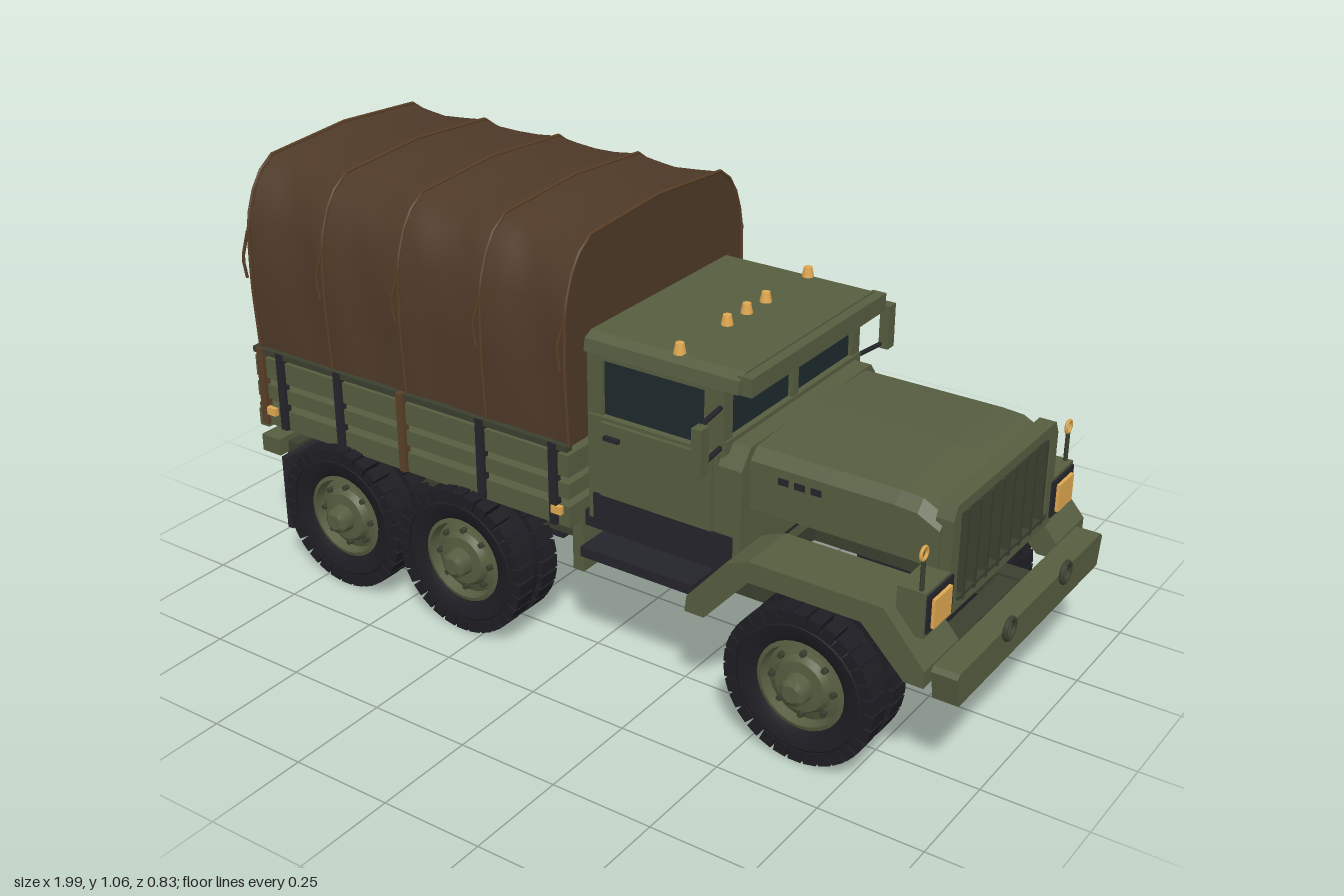
import * as THREE from 'three';
import { toCreasedNormals } from 'three/addons/utils/BufferGeometryUtils.js';

const paint = (color) => new THREE.MeshStandardMaterial({ color, side: THREE.DoubleSide });
const GREEN = paint(0x565d40), DEEP = paint(0x3a4030), DARK = paint(0x24242b), TYRE = paint(0x1d1d23);
const GLASS = paint(0x1e292c), CANVAS = paint(0x4f3a28), ROPE = paint(0x5a4028), AMBER = paint(0xe0a850), RED = paint(0xa02a20);

export function createModel() {
  const truck = new THREE.Group();
  truck.name = 'truck';

  const add = (name, geo, mat, parent = truck) => {
    const m = new THREE.Mesh(geo, mat);
    m.name = name;
    parent.add(m);
    return m;
  };
  const box = (name, mat, x0, x1, y0, y1, z0, z1, parent) => {
    const m = add(name, new THREE.BoxGeometry(x1 - x0, y1 - y0, Math.abs(z1 - z0)), mat, parent);
    m.position.set((x0 + x1) / 2, (y0 + y1) / 2, (z0 + z1) / 2);
    return m;
  };
  const sides = (fn) => [1, -1].forEach(fn);
  const pairBox = (name, mat, x0, x1, y0, y1, z0, z1) =>
    sides((s) => box(name, mat, x0, x1, y0, y1, s * z0, s * z1));
  const rod = (name, mat, r, pts, parent) => {
    const path = new THREE.CurvePath();
    const v = pts.map((p) => new THREE.Vector3(...p));
    for (let i = 1; i < v.length; i++) path.add(new THREE.LineCurve3(v[i - 1], v[i]));
    return add(name, new THREE.TubeGeometry(path, (v.length - 1) * 3, r, 6), mat, parent);
  };
  const poly = (pts) => new THREE.Shape(pts.map((p) => new THREE.Vector2(...p)));
  const hole = (shape, pts) => { shape.holes.push(new THREE.Path(pts.map((p) => new THREE.Vector2(...p)))); return shape; };
  // extrude a (z, y) outline along x
  const alongX = (shape, x0, x1, steps = 1) =>
    new THREE.ExtrudeGeometry(shape, { depth: x1 - x0, steps, bevelEnabled: false }).rotateY(Math.PI / 2).translate(x0, 0, 0);

  // Wheels, outer face towards +z
  const tyreGeo = toCreasedNormals(new THREE.LatheGeometry([
    [0.105, -0.06], [0.15, -0.07], [0.168, -0.06], [0.17, 0], [0.168, 0.06], [0.15, 0.07], [0.125, 0.066], [0.105, 0.055], [0.105, -0.06],
  ].map((p) => new THREE.Vector2(...p)), 32).rotateX(Math.PI / 2), 0.6);
  const rimGeo = toCreasedNormals(new THREE.LatheGeometry([
    [0, -0.05], [0.106, -0.05], [0.11, 0.056], [0.098, 0.06], [0.092, 0.035], [0.07, 0.045], [0.06, 0.06], [0.035, 0.062], [0.032, 0.09], [0.02, 0.098], [0, 0.098],
  ].map((p) => new THREE.Vector2(...p)), 24).rotateX(Math.PI / 2), 0.5);
  const lugGeo = new THREE.BoxGeometry(0.031, 0.03, 0.056);
  const boltGeo = new THREE.CylinderGeometry(0.007, 0.007, 0.016, 6).rotateX(Math.PI / 2);
  for (const x of [-0.68, -0.305, 0.625]) sides((s) => {
    const wheel = new THREE.Group();
    wheel.name = 'wheel';
    add('tyre', tyreGeo, TYRE, wheel);
    add('rim', rimGeo, GREEN, wheel);
    for (let i = 0; i < 60; i++) {
      const a = (i / 60) * Math.PI * 2;
      const lug = add('treadLug', lugGeo, TYRE, wheel);
      lug.position.set(Math.cos(a) * 0.169, Math.sin(a) * 0.169, i % 2 ? 0.043 : -0.043);
      lug.rotation.z = a - Math.PI / 2;
    }
    for (let i = 0; i < 8; i++) {
      const a = (i / 8) * Math.PI * 2;
      add('wheelBolt', boltGeo, DEEP, wheel).position.set(Math.cos(a) * 0.076, Math.sin(a) * 0.076, 0.047);
    }
    wheel.position.set(x, 0.185, s * 0.316);
    if (s < 0) wheel.rotation.y = Math.PI;
    truck.add(wheel);
  });

  // Chassis, axles and drive line
  pairBox('chassisRail', DEEP, -0.91, 0.9, 0.22, 0.29, 0.13, 0.18);
  for (const x of [-0.89, -0.49, -0.08, 0.12, 0.34, 0.86]) box('crossMember', DEEP, x - 0.025, x + 0.025, 0.225, 0.285, -0.13, 0.13);
  for (const x of [-0.68, -0.305, 0.625]) {
    add('axle', new THREE.CylinderGeometry(0.027, 0.027, 0.56, 10).rotateX(Math.PI / 2), DARK).position.set(x, 0.18, 0);
    box('differential', GREEN, x - 0.055, x + 0.055, 0.115, 0.215, -0.055, 0.055);
    pairBox('leafSpring', DARK, x - 0.15, x + 0.15, 0.2, 0.225, 0.135, 0.175);
  }
  rod('driveShaft', DARK, 0.016, [[-0.68, 0.18, 0], [0.1, 0.22, 0], [0.625, 0.18, 0]]);
  box('gearbox', DARK, 0, 0.32, 0.2, 0.36, -0.1, 0.1);
  pairBox('mudFlap', DARK, -0.872, -0.855, 0.1, 0.3, 0.25, 0.385);

  // Front bumper with towing rings
  add('frontBumper', new THREE.ExtrudeGeometry(
    poly([[0.35, 0.335], [0.36, 0.325], [0.345, 0.255], [-0.345, 0.255], [-0.36, 0.325], [-0.35, 0.335]]),
    { depth: 0.06, bevelEnabled: false }).rotateY(Math.PI / 2).translate(0.92, 0, 0), GREEN);
  sides((s) => {
    const ring = add('towRing', new THREE.TorusGeometry(0.023, 0.006, 8, 20), DEEP);
    ring.rotation.y = Math.PI / 2;
    ring.position.set(0.988, 0.338, s * 0.14);
  });

  // Fenders, headlights and marker poles
  const fender = poly([[0.34, 0.28], [0.345, 0.32], [0.44, 0.43], [0.5, 0.455], [0.82, 0.455], [0.92, 0.34], [0.92, 0.3],
    [0.875, 0.3], [0.77, 0.405], [0.5, 0.405], [0.39, 0.28]]);
  sides((s) => {
    add('frontFender', new THREE.ExtrudeGeometry(fender, { depth: 0.15, bevelEnabled: false }), GREEN).position.z = s > 0 ? 0.24 : -0.39;
    box('headlightHousing', GREEN, 0.83, 0.895, 0.39, 0.495, s * 0.235, s * 0.355);
    box('headlightBezel', DARK, 0.895, 0.9, 0.4, 0.488, s * 0.24, s * 0.35);
    box('headlight', AMBER, 0.9, 0.908, 0.408, 0.475, s * 0.26, s * 0.335);
    rod('markerPole', DEEP, 0.005, [[0.88, 0.48, s * 0.345], [0.88, 0.565, s * 0.345]]);
    const loop = add('markerRing', new THREE.TorusGeometry(0.014, 0.004, 6, 16), AMBER);
    loop.rotation.y = Math.PI / 2;
    loop.position.set(0.88, 0.58, s * 0.345);
  });

  // Hood: open shell whose top dips at the nose
  const hood = alongX(poly([[-0.26, 0.5], [-0.26, 0.615], [-0.235, 0.64], [0, 0.65], [0.235, 0.64], [0.26, 0.615], [0.26, 0.5],
    [0.245, 0.5], [0.245, 0.605], [0.23, 0.625], [-0.23, 0.625], [-0.245, 0.605], [-0.245, 0.5]]), 0.4, 0.87, 9);
  const hp = hood.attributes.position;
  for (let i = 0; i < hp.count; i++) {
    if (hp.getX(i) > 0.81 && hp.getY(i) > 0.55) hp.setY(i, hp.getY(i) - (hp.getX(i) - 0.81) * 0.5);
  }
  hood.computeVertexNormals();
  add('hood', hood, GREEN);
  sides((s) => { for (let i = 0; i < 3; i++) box('hoodVent', DARK, 0.49 + i * 0.04, 0.515 + i * 0.04, 0.58, 0.595, s * 0.258, s * 0.263); });

  // Grille
  add('grilleFrame', alongX(hole(
    poly([[-0.25, 0.385], [-0.25, 0.61], [-0.235, 0.64], [0.235, 0.64], [0.25, 0.61], [0.25, 0.385]]),
    [[-0.215, 0.405], [0.215, 0.405], [0.215, 0.615], [-0.215, 0.615]]), 0.855, 0.895), GREEN);
  box('radiator', DARK, 0.855, 0.872, 0.4, 0.62, -0.22, 0.22);
  for (let i = 0; i < 8; i++) {
    const z = (i - 3.5) * 0.054;
    box('grilleBar', DEEP, 0.875, 0.9, 0.405, 0.615, z - 0.005, z + 0.005);
  }
  box('grilleCrossBar', DEEP, 0.88, 0.9, 0.412, 0.42, -0.215, 0.215);

  // Cab
  box('cabFloor', DARK, 0.0, 0.4, 0.34, 0.38, -0.29, 0.29);
  box('cabBase', GREEN, 0.0, 0.38, 0.29, 0.345, -0.2, 0.2);
  box('cabBody', GREEN, 0.015, 0.36, 0.37, 0.63, -0.295, 0.295);
  add('cowl', alongX(poly([[-0.295, 0.37], [-0.295, 0.6], [-0.26, 0.645], [0.26, 0.645], [0.295, 0.6], [0.295, 0.37]]), 0.355, 0.42), GREEN);
  box('cabGlass', GLASS, 0.03, 0.36, 0.62, 0.78, -0.278, 0.278);
  box('cabBackWall', GREEN, 0.01, 0.05, 0.6, 0.79, -0.288, 0.288);
  box('windscreenSill', GREEN, 0.33, 0.375, 0.625, 0.655, -0.288, 0.288);
  box('windscreenPost', GREEN, 0.35, 0.372, 0.64, 0.78, -0.012, 0.012);
  sides((s) => {
    box('cabPillar', GREEN, 0.32, 0.37, 0.62, 0.79, s * 0.255, s * 0.29);
    box('windowHeader', GREEN, 0.03, 0.36, 0.765, 0.79, s * 0.27, s * 0.29);
    box('door', GREEN, 0.055, 0.35, 0.44, 0.622, s * 0.29, s * 0.305);
    box('doorLower', DARK, 0.03, 0.4, 0.365, 0.437, s * 0.29, s * 0.3);
    box('doorHandle', DARK, 0.07, 0.11, 0.585, 0.595, s * 0.303, s * 0.315);
    box('step', DARK, 0.045, 0.345, 0.31, 0.335, s * 0.2, s * 0.37);
    box('mirror', GREEN, 0.37, 0.395, 0.63, 0.74, s * 0.385, s * 0.415);
    rod('mirrorBracket', DARK, 0.006, [[0.36, 0.64, s * 0.28], [0.375, 0.64, s * 0.395], [0.375, 0.735, s * 0.395], [0.36, 0.735, s * 0.28]]);
  });
  add('cabRoof', alongX(poly([[-0.3, 0.78], [-0.295, 0.81], [-0.27, 0.822], [0.27, 0.822], [0.295, 0.81], [0.3, 0.78]]), 0.01, 0.41), GREEN);
  box('roofVisor', GREEN, 0.4, 0.435, 0.775, 0.818, -0.287, 0.287);
  for (const z of [-0.265, -0.08, 0, 0.08, 0.265]) {
    add('roofLight', new THREE.CylinderGeometry(0.01, 0.015, 0.025, 10), AMBER).position.set(0.24, 0.833, z);
  }

  // Cargo bed with slatted sides
  box('bedFloor', GREEN, -0.96, 0, 0.355, 0.385, -0.33, 0.33);
  for (const x of [-0.88, -0.5, -0.1]) box('bedBearer', DEEP, x - 0.02, x + 0.02, 0.285, 0.36, -0.2, 0.2);
  pairBox('bedBracket', GREEN, -0.03, 0, 0.22, 0.36, 0.2, 0.3);
  const slats = [[0.358, 0.41], [0.43, 0.468], [0.485, 0.54]];
  for (const [y0, y1] of slats) {
    pairBox('sideSlat', GREEN, -0.97, 0, y0, y1, 0.325, 0.35);
    box('tailgateSlat', GREEN, -0.975, -0.955, y0, y1, -0.335, 0.335);
    box('headboardSlat', GREEN, -0.02, 0, y0, y1, -0.335, 0.335);
  }
  pairBox('topRail', DEEP, -0.97, 0, 0.55, 0.565, 0.335, 0.355);
  for (const x of [-0.945, -0.88, -0.69, -0.49, -0.25, -0.04]) pairBox('sidePost', x % 0.5 < -0.4 ? ROPE : DARK, x - 0.01, x + 0.01, 0.36, 0.565, 0.34, 0.36);
  for (const z of [-0.31, -0.1, 0.1, 0.31]) box('tailgatePost', DEEP, -0.983, -0.965, 0.36, 0.56, z - 0.012, z + 0.012);
  sides((s) => {
    for (const x of [-0.92, -0.03]) box('sideMarker', AMBER, x - 0.014, x + 0.014, 0.39, 0.41, s * 0.345, s * 0.362);
    box('tailLightHousing', GREEN, -0.985, -0.955, 0.34, 0.385, s * 0.25, s * 0.34);
    box('tailLight', RED, -0.993, -0.985, 0.348, 0.378, s * 0.27, s * 0.325);
    box('rearBumperette', GREEN, -0.995, -0.935, 0.26, 0.305, s * 0.18, s * 0.33);
  });
  box('rearBeam', DEEP, -0.94, -0.9, 0.235, 0.29, -0.3, 0.3);

  // Canvas cover: hoop cross-sections, sagging between the hoops
  const half = [[0.343, 0.56], [0.352, 0.73], [0.348, 0.89], [0.31, 0.99], [0.255, 1.033], [0, 1.05]];
  const hoop = [...half, ...half.slice(0, 5).reverse().map(([z, y]) => [-z, y])];
  const hoopX = [-0.95, -0.71, -0.475, -0.235, 0];
  const pos = [], idx = [], n = hoop.length, stations = 17;
  for (let i = 0; i < stations; i++) {
    const t = i % 4, x = hoopX[0] + (0.95 * i) / (stations - 1);
    const sag = [0, 0.7, 1, 0.7][t];
    hoop.forEach(([z, y], j) => {
      const low = y < 0.6 ? 0.3 : 1, twist = 1 + 0.5 * Math.sin(i * 2.1 + j * 1.7);
      pos.push(x, y - sag * 0.008 * (y > 0.95 ? 1 : 0), z * (1 - sag * 0.035 * low * twist));
    });
    if (i) for (let j = 0; j < n - 1; j++) {
      const a = (i - 1) * n + j, b = a + n;
      idx.push(a, b, a + 1, b, b + 1, a + 1);
    }
  }
  const cover = new THREE.BufferGeometry();
  cover.setAttribute('position', new THREE.Float32BufferAttribute(pos, 3));
  cover.setIndex(idx);
  cover.computeVertexNormals();
  add('canvasCover', cover, CANVAS);
  for (const x of [-0.95, -0.006]) add('canvasEnd', alongX(poly(hoop), x, x + 0.006), CANVAS);

  // Ropes over the hoops, with hanging ends
  for (const x of hoopX) {
    rod('hoopRope', ROPE, 0.004, hoop.map(([z, y]) => [x, y + 0.002, z * 1.012]));
    sides((s) => rod('ropeEnd', ROPE, 0.004, [[x, 0.87, s * 0.355], [x - 0.015, 0.8, s * 0.364], [x - 0.01, 0.75, s * 0.36]]));
  }
  return truck;
}
